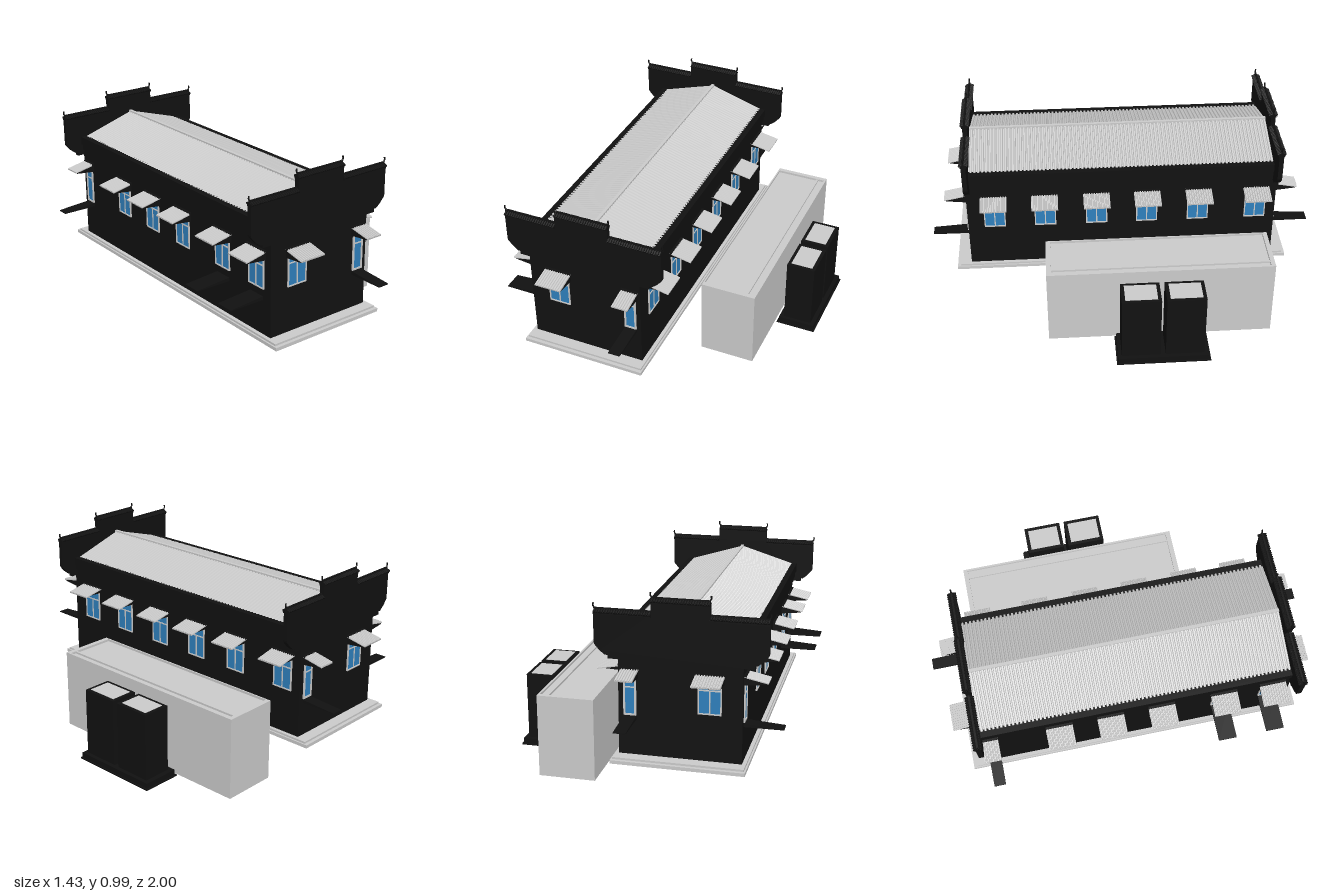
import * as THREE from 'three';

const grey = new THREE.MeshStandardMaterial({ color: 0xcccccc, side: THREE.DoubleSide });
const black = new THREE.MeshStandardMaterial({ color: 0x111111, side: THREE.DoubleSide });
const blue = new THREE.MeshStandardMaterial({ color: 0x2f80bd });
const CX = -0.235; // centre line of the hall

function add(parent, name, geometry, material) {
  const m = new THREE.Mesh(geometry, material);
  m.name = name;
  parent.add(m);
  return m;
}

// Box given by its minimum and maximum on each axis
function box(parent, name, material, x0, x1, y0, y1, z0, z1) {
  const m = add(parent, name, new THREE.BoxGeometry(x1 - x0, y1 - y0, z1 - z0), material);
  m.position.set((x0 + x1) / 2, (y0 + y1) / 2, (z0 + z1) / 2);
  return m;
}

// Sheet of ribbed tiles: width along x, ribs running along +z
function tileSheet(width, length, count, thick, rib) {
  const s = new THREE.Shape();
  const step = width / count;
  s.moveTo(-width / 2, 0);
  for (let i = 0; i < count; i++) {
    const u = -width / 2 + i * step;
    s.lineTo(u, thick);
    s.lineTo(u + step * 0.25, thick);
    s.lineTo(u + step * 0.42, thick + rib);
    s.lineTo(u + step * 0.83, thick + rib);
    s.lineTo(u + step, thick);
  }
  s.lineTo(width / 2, 0);
  return new THREE.ExtrudeGeometry(s, { depth: length, bevelEnabled: false });
}

// Wedge canopy: thick at the wall, thin at the tip
function wedge(width, length, y0, y1, yTip) {
  const s = new THREE.Shape([[0, y0], [length, yTip - 0.002], [length, yTip + 0.002], [0, y1]]
    .map(p => new THREE.Vector2(...p)));
  return new THREE.ExtrudeGeometry(s, { depth: width, bevelEnabled: false })
    .translate(0, 0, -width / 2).rotateY(-Math.PI / 2);
}

// Window on a wall facing +z, centred on u
function addWindow(wall, u, w, y0, y1, narrow) {
  const g = new THREE.Group();
  g.name = 'window';
  g.position.x = u;
  wall.add(g);
  const t = narrow ? 0.009 : 0.006, h = w / 2, bar = 0.003;
  box(g, 'glass', blue, -h + t, h - t, y0 + t, y1 - t, -0.002, 0.003);
  for (const s of [-1, 1]) {
    const a = s * h, b = s * (h - t);
    box(g, 'frameSide', grey, Math.min(a, b), Math.max(a, b), y0, y1, -0.002, 0.007);
  }
  box(g, 'frameBottom', grey, -h, h, y0, y0 + t, -0.002, 0.007);
  box(g, 'frameTop', grey, -h, h, y1 - t, y1, -0.002, 0.007);
  const yT = y1 - 0.045;
  box(g, 'transom', grey, -h, h, yT - bar, yT + bar, -0.002, 0.006);
  if (!narrow) box(g, 'mullion', grey, -bar, bar, y0, yT, -0.002, 0.006);
}

function addAwning(wall, u, w, shelf) {
  const g = new THREE.Group();
  g.name = 'awning';
  g.position.x = u;
  wall.add(g);
  const tiles = add(g, 'awningTiles', tileSheet(w, 0.115, Math.round(w / 0.0125), 0.005, 0.005), grey);
  tiles.position.y = 0.613;
  tiles.rotation.x = 0.2;
  const h = w / 2;
  box(g, 'awningLedge', black, -h, h, 0.608, 0.624, 0, 0.012);
  if (shelf) add(g, 'awningSoffit', wedge(w * 0.96, 0.105, 0.575, 0.61, 0.589), black);
  for (const s of [-1, 1]) add(g, 'awningBracket', wedge(0.008, 0.09, 0.59, 0.612, 0.596), black)
    .position.x = s * h * 0.8;
}

function addWall(root, name, x, z, yaw, items, shelf) {
  const wall = new THREE.Group();
  wall.name = name;
  wall.position.set(x, 0, z);
  wall.rotation.y = yaw;
  root.add(wall);
  for (const [u, kind, canopy] of items) {
    const narrow = kind === 'narrow';
    addWindow(wall, u, narrow ? 0.062 : 0.112, narrow ? 0.39 : 0.425, narrow ? 0.575 : 0.588, narrow);
    addAwning(wall, u, narrow ? 0.085 : 0.138, shelf);
    if (canopy) add(wall, 'lowerCanopy', wedge(canopy, 0.188, 0.368, 0.386, 0.371), black).position.x = u;
  }
}

// Tiled coping with upturned horns; ends lists which sides carry a horn
function addCoping(parent, x0, x1, y, ends) {
  const g = new THREE.Group();
  g.name = 'coping';
  g.position.set((x0 + x1) / 2, y, 0);
  parent.add(g);
  const w = x1 - x0, h = w / 2;
  box(g, 'copingBed', black, -h, h, -0.012, 0.004, -0.016, 0.016);
  for (const yaw of [0, Math.PI]) {
    const t = add(g, 'copingTiles', tileSheet(w, 0.022, Math.round(w / 0.012), 0.004, 0.005), black);
    t.rotation.set(0.5, yaw, 0, 'YXZ');
    t.position.y = 0.006;
  }
  box(g, 'copingRidge', black, -h, h, 0.004, 0.018, -0.005, 0.005);
  for (const s of ends) {
    const curve = new THREE.CatmullRomCurve3([[-0.02, 0.012], [-0.004, 0.017], [0.003, 0.026], [0.002, 0.039]]
      .map(([x, yy]) => new THREE.Vector3(s * (h + x), yy, 0)));
    add(g, 'copingHorn', new THREE.TubeGeometry(curve, 8, 0.004, 6), black);
  }
}

function addGable(root, sign) {
  const g = new THREE.Group();
  g.name = sign > 0 ? 'frontGable' : 'backGable';
  g.position.z = sign * 0.8;
  root.add(g);
  const half = [[0.295, 0.19], [0.295, 0.66], [0.345, 0.66], [0.345, 0.677], [0.358, 0.677], [0.383, 0.697],
    [0.408, 0.726], [0.41, 0.735], [0.41, 0.885], [0.138, 0.885], [0.138, 0.952]];
  const pts = [...half.map(([x, y]) => [CX + x, y]), ...half.slice().reverse().map(([x, y]) => [CX - x, y])];
  const shape = new THREE.Shape(pts.map(p => new THREE.Vector2(...p)));
  add(g, 'gableWall', new THREE.ExtrudeGeometry(shape, { depth: 0.024, bevelEnabled: false }).translate(0, 0, -0.012), black);
  addCoping(g, CX - 0.41, CX - 0.138, 0.882, [-1]);
  addCoping(g, CX + 0.138, CX + 0.41, 0.882, [1]);
  addCoping(g, CX - 0.138, CX + 0.138, 0.948, [-1, 1]);
}

export function createModel() {
  const root = new THREE.Group();
  root.name = 'hall';

  // Plinth and walls
  box(root, 'plinthLower', grey, CX - 0.322, CX + 0.322, 0.165, 0.182, -0.887, 0.887);
  box(root, 'plinthUpper', grey, CX - 0.314, CX + 0.314, 0.182, 0.192, -0.87, 0.87);
  box(root, 'walls', black, CX - 0.295, CX + 0.295, 0.19, 0.757, -0.795, 0.795);
  for (const s of [-1, 1]) {
    // Stepped cornice under each eave
    [[0.305, 0.66], [0.313, 0.69], [0.32, 0.72]].forEach(([w, y]) => {
      const a = CX + s * 0.28, b = CX + s * w;
      box(root, 'cornice', black, Math.min(a, b), Math.max(a, b), y, 0.763, -0.788, 0.788);
    });
    // Roof slope, ribs running down to the eave
    const slope = add(root, 'roofSlope', tileSheet(1.576, 0.3, 80, 0.005, 0.006), grey);
    slope.rotation.set(Math.atan2(0.088, 0.287), s * Math.PI / 2, 0, 'YXZ');
    slope.position.set(CX, 0.842, 0);
    addGable(root, s);
  }
  box(root, 'roofRidge', grey, CX - 0.008, CX + 0.008, 0.84, 0.858, -0.788, 0.788);

  // Windows, awnings and canopies on the four walls
  addWall(root, 'leftWall', 0.06, 0, Math.PI / 2,
    [0.67, 0.405, 0.135, -0.13, -0.4, -0.705].map(z => [-z, 'wide', 0]), false);
  addWall(root, 'rightWall', -0.53, 0, -Math.PI / 2, [[-0.755, 'narrow', 0.06], [-0.4, 'wide', 0],
    [-0.135, 'wide', 0], [0.13, 'wide', 0], [0.455, 'wide', 0.095], [0.71, 'wide', 0.095]], true);
  addWall(root, 'frontWall', 0, 0.812, 0, [[-0.376, 'wide', 0], [0.006, 'narrow', 0.06]], true);
  addWall(root, 'backWall', 0, -0.812, Math.PI, [[0.376, 'wide', 0], [-0.004, 'narrow', 0.06]], true);

  // Long container with a recessed top
  const c = new THREE.Group();
  c.name = 'container';
  root.add(c);
  box(c, 'containerBody', grey, 0.205, 0.49, 0, 0.408, -0.75, 0.41);
  box(c, 'containerRim', grey, 0.205, 0.212, 0.408, 0.42, -0.75, 0.41);
  box(c, 'containerRim', grey, 0.48, 0.49, 0.408, 0.42, -0.75, 0.41);
  box(c, 'containerRim', grey, 0.212, 0.48, 0.408, 0.42, -0.75, -0.727);
  box(c, 'containerRim', grey, 0.212, 0.48, 0.408, 0.42, 0.385, 0.41);
  box(c, 'containerRail', grey, 0.435, 0.447, 0.408, 0.418, -0.727, 0.385);

  // Pair of dark cabinets on a low stand
  const k = new THREE.Group();
  k.name = 'cabinets';
  root.add(k);
  box(k, 'standFoot', black, 0.502, 0.71, 0, 0.007, -0.41, 0.07);
  box(k, 'stand', black, 0.51, 0.703, 0.007, 0.034, -0.403, 0.063);
  for (const z of [-0.279, -0.055]) {
    box(k, 'cabinet', black, 0.533, 0.682, 0.034, 0.384, z - 0.099, z + 0.099);
    box(k, 'cabinetTop', grey, 0.55, 0.664, 0.38, 0.386, z - 0.081, z + 0.081);
  }
  return root;
}
